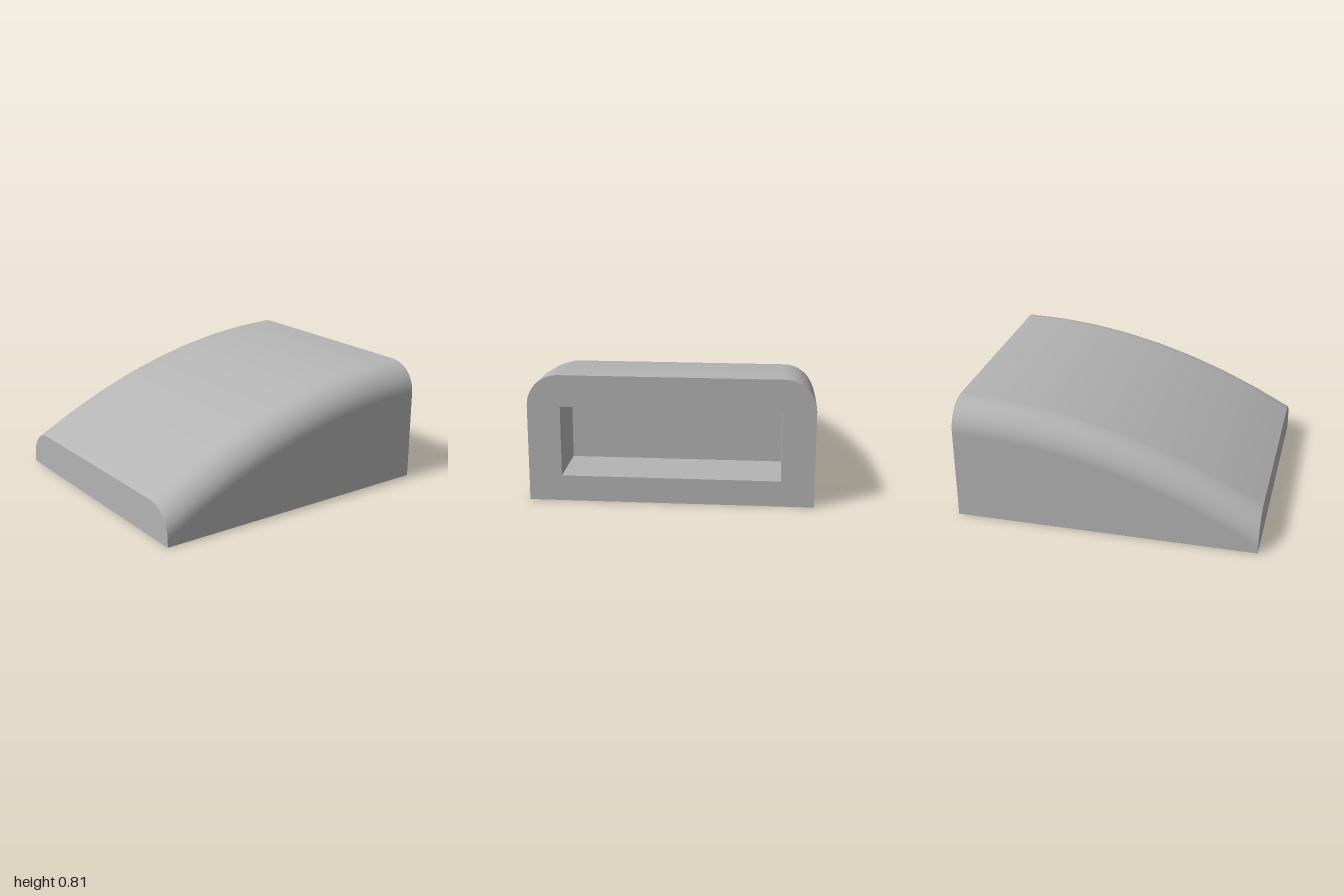
import * as THREE from 'three';

const W = 0.885, R = 0.195;                       // half width, edge radius
const PX = 0.68, PY0 = 0.163, PY1 = 0.605, PD = 0.39; // socket half width, bottom, top, depth
const roof = z => 0.805 - 0.14 * (1 + z) ** 2;    // curved slope height

// Cross-section at a given z: up the left wall, over the rounded top, down the right.
function section(z) {
  const h = roof(z), n = 10, pts = [{ x: W, y: 0, nx: 1, ny: 0 }];
  for (const [side, from] of [[1, 0], [-1, Math.PI / 2]]) {
    for (let i = 0; i <= n; i++) {
      const a = from + (i / n) * Math.PI / 2, nx = Math.cos(a), ny = Math.sin(a);
      pts.push({ x: side * (W - R) + R * nx, y: h - R + R * ny, nx, ny });
    }
  }
  pts.push({ x: -W, y: 0, nx: -1, ny: 0 });
  return pts;
}

// Outer skin lofted along z, with smooth normals following the slope.
function skinGeometry() {
  const pos = [], nor = [], idx = [], steps = 8;
  let count = 0;
  for (let j = 0; j <= steps; j++) {
    const z = -1 + (2 * j) / steps, slope = -0.28 * (1 + z), ring = section(z);
    count = ring.length;
    for (const p of ring) {
      const v = new THREE.Vector3(p.nx, p.ny, -p.ny * slope).normalize();
      pos.push(p.x, p.y, z);
      nor.push(v.x, v.y, v.z);
    }
  }
  for (let j = 0; j < steps; j++) {
    for (let i = 0; i < count - 1; i++) {
      const a = j * count + i, b = a + count;
      idx.push(a, a + 1, b, a + 1, b + 1, b);
    }
  }
  const g = new THREE.BufferGeometry();
  g.setAttribute('position', new THREE.Float32BufferAttribute(pos, 3));
  g.setAttribute('normal', new THREE.Float32BufferAttribute(nor, 3));
  g.setIndex(idx);
  return g;
}

const endShape = z => new THREE.Shape(section(z).map(p => new THREE.Vector2(p.x, p.y)));

export function createModel() {
  const group = new THREE.Group();
  group.name = 'curvedSlopeBlock';
  const grey = new THREE.MeshStandardMaterial({ color: 0xb4b4b4 });
  grey.name = 'light grey';

  const add = (name, geometry, x = 0, y = 0, z = 0, rx = 0, ry = 0) => {
    const m = new THREE.Mesh(geometry, grey);
    m.name = name;
    m.position.set(x, y, z);
    m.rotation.set(rx, ry, 0);
    group.add(m);
  };

  add('curvedSkin', skinGeometry());
  add('frontFace', new THREE.ShapeGeometry(endShape(1)), 0, 0, 1);
  add('base', new THREE.PlaneGeometry(2 * W, 2), 0, 0, 0, Math.PI / 2);

  // Back face with the socket opening
  const back = endShape(-1);
  back.holes.push(new THREE.Path([[-PX, PY0], [PX, PY0], [PX, PY1], [-PX, PY1]]
    .map(([x, y]) => new THREE.Vector2(x, y))));
  add('backFace', new THREE.ShapeGeometry(back), 0, 0, -1, 0, Math.PI);

  // Socket walls facing inward
  const ph = PY1 - PY0, cy = (PY0 + PY1) / 2, cz = -1 + PD / 2;
  add('socketFloor', new THREE.PlaneGeometry(2 * PX, PD), 0, PY0, cz, -Math.PI / 2);
  add('socketCeiling', new THREE.PlaneGeometry(2 * PX, PD), 0, PY1, cz, Math.PI / 2);
  add('socketEnd', new THREE.PlaneGeometry(2 * PX, ph), 0, cy, -1 + PD, 0, Math.PI);
  for (const s of [1, -1]) {
    add(s > 0 ? 'socketLeftWall' : 'socketRightWall',
      new THREE.PlaneGeometry(PD, ph), s * PX, cy, cz, 0, -s * Math.PI / 2);
  }
  return group;
}
